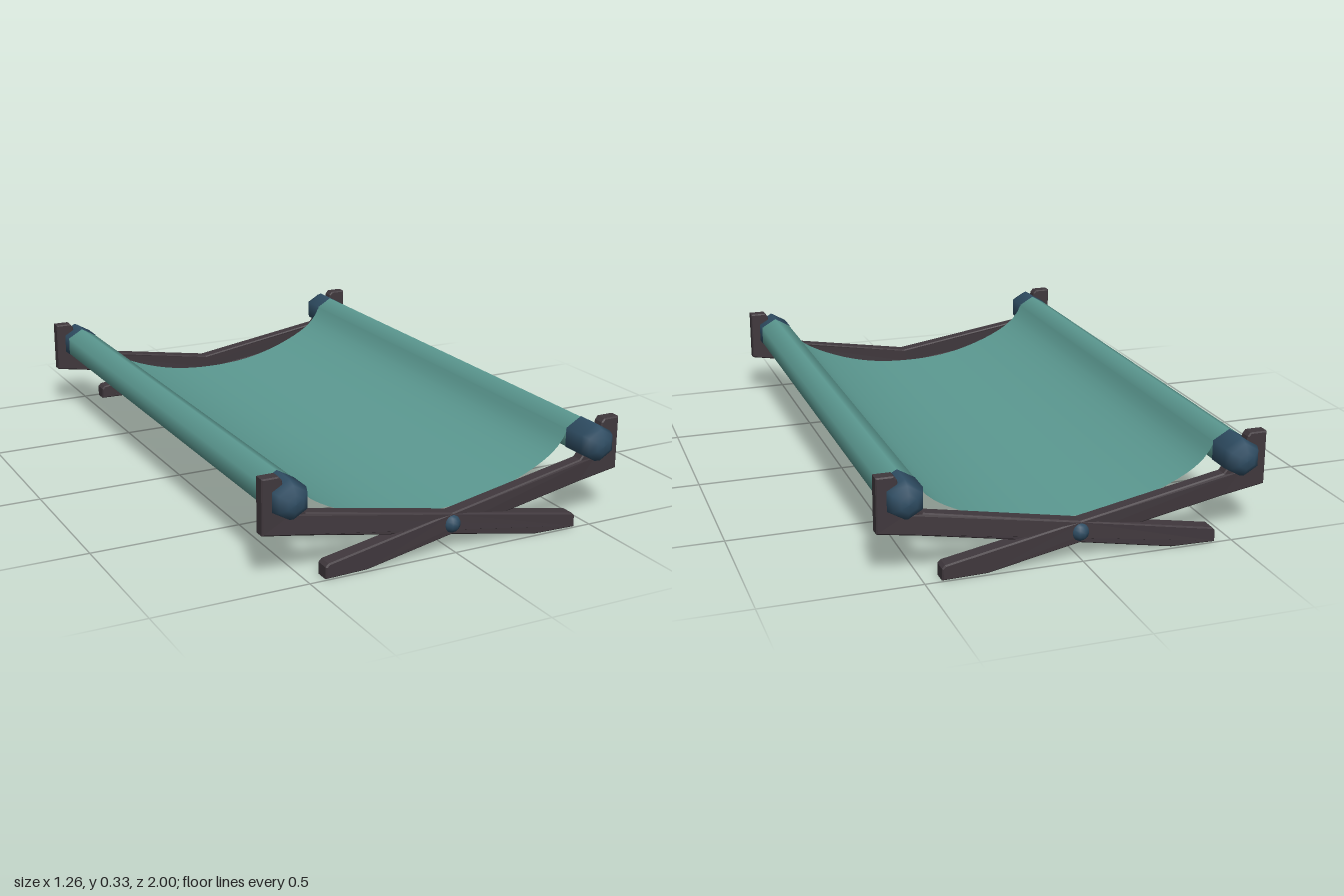
import * as THREE from 'three';

const wood = new THREE.MeshStandardMaterial({ color: 0x40383d });
const fabric = new THREE.MeshStandardMaterial({ color: 0x5c9a92, side: THREE.DoubleSide });
const metal = new THREE.MeshStandardMaterial({ color: 0x2f4d63 });

const POLE_X = 0.543, POLE_Y = 0.255;

function add(parent, name, geometry, material) {
  const mesh = new THREE.Mesh(geometry, material);
  mesh.name = name;
  parent.add(mesh);
  return mesh;
}

// Crossed leg: cradle for the pole on one side, foot on the other, leaning outward towards the foot
function legGeometry(side) {
  const outline = [
    [-0.63, 0.33], [-0.575, 0.33], [-0.565, 0.318], [-0.56, 0.294], [-0.584, 0.278],
    [-0.584, 0.232], [-0.543, 0.208], [-0.502, 0.224], [-0.488, 0.205], [0, 0.121],
    [0.435, 0.048], [0.445, 0.038], [0.445, 0], [0.3, 0], [0, 0.051], [-0.49, 0.132], [-0.63, 0.155],
  ].map(([x, y]) => new THREE.Vector2(x * side, y));
  const bevel = 0.004, width = 0.042;
  const geo = new THREE.ExtrudeGeometry(new THREE.Shape(outline), {
    depth: width - 2 * bevel, bevelEnabled: true, bevelSegments: 1,
    bevelSize: bevel, bevelThickness: bevel, bevelOffset: -bevel,
  });
  const p = geo.attributes.position;
  for (let i = 0; i < p.count; i++) {
    const along = Math.max(0, p.getX(i) * side + 0.49);
    const spread = 1 + 0.35 * along; // thicker at the foot
    const z = (p.getZ(i) + bevel - width / 2) * spread;
    p.setZ(i, z + 0.932 + 0.04 * along);
  }
  geo.computeVertexNormals();
  return geo;
}

// Six-sided pole with rounded ends, lying along z
function poleGeometry() {
  const half = [[0.058, 0.868], [0.0635, 0.87], [0.0635, 0.952], [0.052, 0.98], [0.028, 0.997], [0, 1]];
  const profile = [
    ...half.map(([r, y]) => new THREE.Vector2(r, -y)).reverse(),
    ...half.map(([r, y]) => new THREE.Vector2(r, y)),
  ];
  return new THREE.LatheGeometry(profile, 6).rotateX(Math.PI / 2);
}

// Sagging cloth hung from the upper inner edges of the sleeves, swept along z
function clothGeometry(halfLength) {
  const half = [[0.492, 0.286], [0.468, 0.242], [0.42, 0.2], [0.3, 0.144], [0.16, 0.107]];
  const points = [
    ...half.map(([x, y]) => new THREE.Vector3(-x, y, 0)),
    new THREE.Vector3(0, 0.095, 0),
    ...half.map(([x, y]) => new THREE.Vector3(x, y, 0)).reverse(),
  ];
  const curve = new THREE.CatmullRomCurve3(points);
  const geo = new THREE.PlaneGeometry(1, 2 * halfLength, 32, 1).rotateX(-Math.PI / 2);
  const p = geo.attributes.position;
  for (let i = 0; i < p.count; i++) {
    const c = curve.getPointAt(THREE.MathUtils.clamp(p.getX(i) + 0.5, 0, 1));
    p.setXYZ(i, c.x, c.y, p.getZ(i));
  }
  geo.computeVertexNormals();
  return geo;
}

export function createModel() {
  const model = new THREE.Group();
  model.name = 'campCot';
  const clothHalf = 0.872;

  // Poles with the cloth sleeves around them
  for (const side of [-1, 1]) {
    const label = side > 0 ? 'left' : 'right';
    add(model, label + 'Pole', poleGeometry(), metal).position.set(side * POLE_X, POLE_Y, 0);
    const sleeve = new THREE.CylinderGeometry(0.0615, 0.0615, 2 * clothHalf, 6, 1, true).rotateX(Math.PI / 2);
    add(model, label + 'Sleeve', sleeve, fabric).position.set(side * POLE_X, POLE_Y, 0);
  }

  add(model, 'cloth', clothGeometry(clothHalf), fabric);

  // Crossed legs and pivot pin at each end
  for (const end of ['front', 'back']) {
    const frame = new THREE.Group();
    frame.name = end + 'Legs';
    add(frame, 'legA', legGeometry(1), wood);
    add(frame, 'legB', legGeometry(-1), wood);
    add(frame, 'pivotPin', new THREE.SphereGeometry(0.03, 10, 8), metal).position.set(0, 0.086, 0.967);
    if (end === 'back') frame.rotation.y = Math.PI;
    model.add(frame);
  }
  return model;
}
